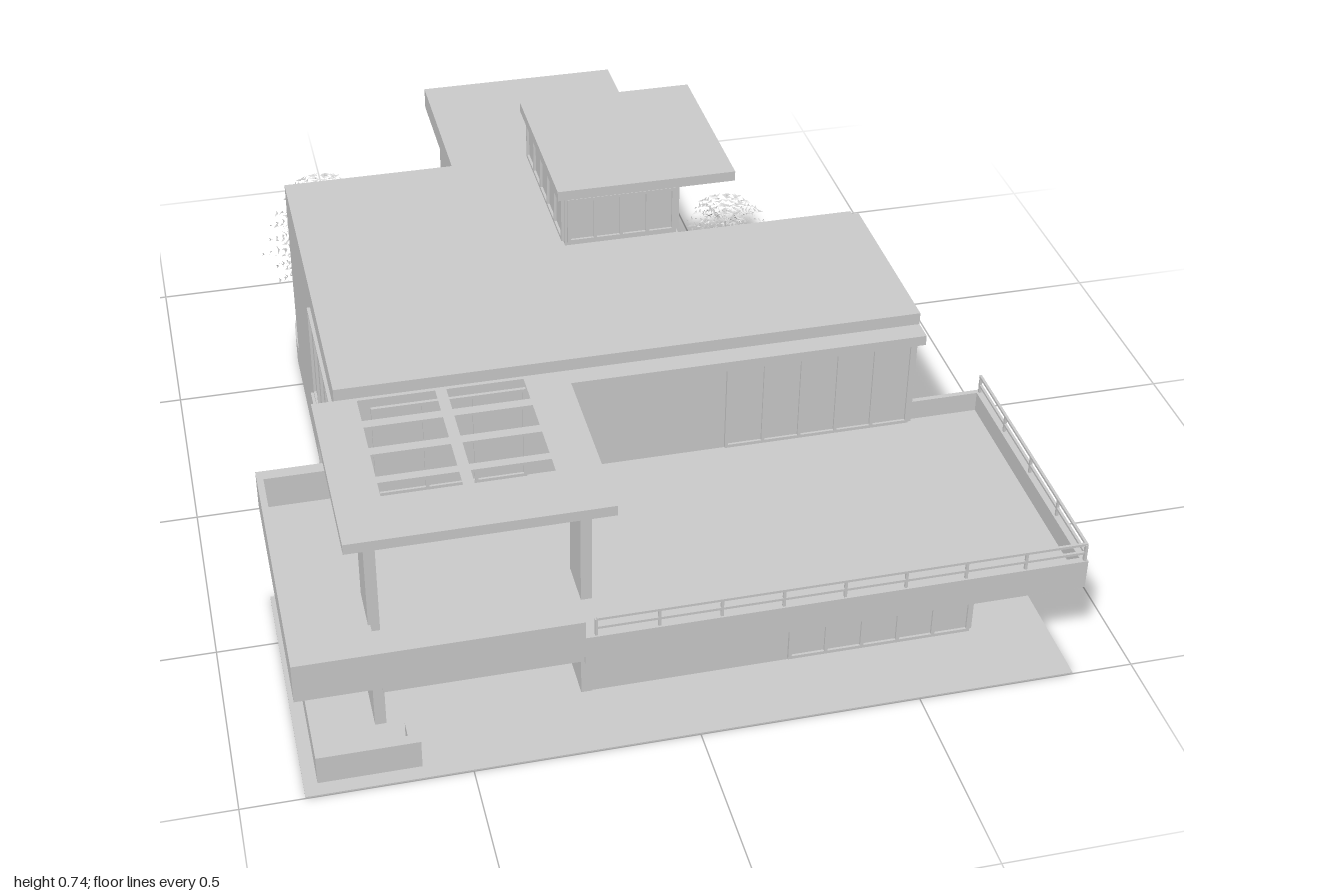
import * as THREE from 'three';
import { mergeGeometries } from 'three/addons/utils/BufferGeometryUtils.js';

const grey = new THREE.MeshStandardMaterial({ color: 0xcccccc, flatShading: true });
const thin = new THREE.MeshStandardMaterial({ color: 0xcccccc, flatShading: true, side: THREE.DoubleSide });

// Box geometry from its limits
const box = (x0, x1, y0, y1, z0, z1) =>
  new THREE.BoxGeometry(x1 - x0, y1 - y0, z1 - z0).translate((x0 + x1) / 2, (y0 + y1) / 2, (z0 + z1) / 2);

// Plan outline of [x, z] points raised from y0 to y1
function slab(points, y0, y1, holes = []) {
  const toVec = (p) => p.map(([x, z]) => new THREE.Vector2(x, -z));
  const shape = new THREE.Shape(toVec(points));
  for (const h of holes) shape.holes.push(new THREE.Path(toVec(h)));
  return new THREE.ExtrudeGeometry(shape, { depth: y1 - y0, bevelEnabled: false })
    .rotateX(-Math.PI / 2).translate(0, y0, 0);
}
const rect = (x0, x1, z0, z1) => [[x0, z0], [x1, z0], [x1, z1], [x0, z1]];

// Arc of plan points, angles in degrees
function arc(cx, cz, r, a0, a1, n = 10) {
  return Array.from({ length: n + 1 }, (_, i) => {
    const a = THREE.MathUtils.degToRad(a0 + (a1 - a0) * i / n);
    return [cx + r * Math.cos(a), cz + r * Math.sin(a)];
  });
}

// Framed window on a wall: axis is the direction it runs in, at is the wall plane, out the outward sign
function windowFrame(axis, at, out, a0, a1, y0, y1, panes) {
  const parts = [], t = 0.008;
  const put = (u0, u1, v0, v1, d) => {
    const lo = Math.min(at, at + out * d), hi = Math.max(at, at + out * d);
    parts.push(axis === 'x' ? box(u0, u1, v0, v1, lo, hi) : box(lo, hi, v0, v1, u0, u1));
  };
  put(a0, a1, y0, y1, 0.002);
  put(a0, a1, y0, y0 + t, 0.008);
  put(a0, a1, y1 - t, y1, 0.008);
  for (let i = 0; i <= panes; i++) {
    const u = a0 + (a1 - a0 - t) * i / panes;
    put(u, u + t, y0 + t, y1 - t, 0.008);
  }
  return mergeGeometries(parts);
}

// Tree: trunk with tiers of rising fronds carrying small pointed leaves
function treeGeometry(radius, height, seed) {
  let s = seed;
  const rnd = () => (s = (s * 16807) % 2147483647) / 2147483647;
  const pos = [];
  const tri = (a, b, c) => pos.push(...a.toArray(), ...b.toArray(), ...c.toArray());
  const up = new THREE.Vector3(0, 1, 0), tiers = 7, fronds = 14;
  for (let t = 0; t < tiers; t++) {
    const f = t / (tiers - 1);
    const reach = radius * (0.55 + 0.45 * Math.sin(Math.PI * (0.15 + 0.75 * f))) * (1 - 0.35 * f * f);
    for (let k = 0; k < fronds; k++) {
      const ang = (k + 0.25 * (rnd() - 0.5)) / fronds * Math.PI * 2;
      const dir = new THREE.Vector3(Math.cos(ang), 0, Math.sin(ang));
      const side = new THREE.Vector3().crossVectors(dir, up);
      const len = reach * (0.75 + 0.3 * rnd());
      const at = (u) => dir.clone().multiplyScalar(len * u)
        .setY(height * (0.2 + 0.68 * f + 0.12 * Math.sin(u * 2.2)));
      const w = side.clone().multiplyScalar(0.0012);
      tri(at(0).add(w), at(0).sub(w), at(1));
      for (let j = 2; j <= 8; j++) {
        const p = at(j / 8);
        for (const sgn of [-1, 1]) {
          const tip = p.clone().addScaledVector(side, sgn * (0.008 + 0.007 * rnd()))
            .addScaledVector(dir, 0.007).addScaledVector(up, (rnd() - 0.5) * 0.014);
          tri(p, p.clone().addScaledVector(dir, 0.005).addScaledVector(up, 0.003), tip);
        }
      }
    }
  }
  const leaves = new THREE.BufferGeometry();
  leaves.setAttribute('position', new THREE.Float32BufferAttribute(pos, 3));
  leaves.computeVertexNormals();
  const trunk = new THREE.CylinderGeometry(0.002, 0.005, height * 0.9, 6).translate(0, height * 0.45, 0)
    .toNonIndexed();
  trunk.deleteAttribute('uv');
  return mergeGeometries([trunk, leaves]);
}

export function createModel() {
  const model = new THREE.Group();
  const add = (name, geo, mat = grey) => {
    const mesh = new THREE.Mesh(Array.isArray(geo) ? mergeGeometries(geo) : geo, mat);
    mesh.name = name;
    model.add(mesh);
    return mesh;
  };

  // Ground and main volumes
  add('ground', box(-0.86, 0.86, 0, 0.004, 0.34, 1));
  add('mainBlock', slab([[-0.68, 0.36], [0.68, 0.36], [0.68, -0.095], [0.225, -0.095],
    [0.225, -0.545], [-0.68, -0.545]], 0, 0.58));
  add('backWing', box(-0.225, 0.225, 0, 0.525, -0.935, -0.545));
  add('backWingRoof', box(-0.255, 0.25, 0.525, 0.58, -0.965, -0.545));
  add('lowerFrontRoom', box(-0.225, 0.68, 0, 0.25, 0.36, 0.815));
  add('courtyardCanopy', box(0.225, 0.68, 0.525, 0.55, -0.155, -0.095));

  // Rooftop room
  add('rooftopRoom', box(-0.055, 0.22, 0.58, 0.715, -0.54, -0.11));
  add('rooftopSlab', box(-0.075, 0.36, 0.715, 0.74, -0.545, -0.095));
  add('rooftopWindows', [
    windowFrame('x', -0.54, -1, -0.05, 0.215, 0.59, 0.71, 4),
    windowFrame('x', -0.11, 1, -0.05, 0.215, 0.59, 0.71, 4),
    windowFrame('z', -0.055, -1, -0.535, -0.115, 0.59, 0.71, 5),
    windowFrame('z', 0.22, 1, -0.535, -0.115, 0.59, 0.71, 3)]);

  // Pergola roof with two columns of openings
  const holes = [];
  for (const x of [-0.63, -0.43])
    for (const [z0, z1] of [[0.37, 0.447], [0.472, 0.547], [0.572, 0.65], [0.672, 0.77]])
      holes.push(rect(x, x + 0.175, z0, z1));
  add('pergolaRoof', slab([[-0.73, 0.36], [0.68, 0.36], [0.68, 0.41], [-0.155, 0.41],
    [-0.155, 0.86], [-0.73, 0.86]], 0.525, 0.55, holes));
  for (const x of [-0.685, -0.225]) add('pergolaPier', box(x, x + 0.025, 0, 0.525, 0.71, 0.817));

  // Terrace deck with a raised parapet at one end
  add('deckFloor', [box(-0.68, 0.85, 0.25, 0.272, 0.36, 0.985), box(-0.85, -0.68, 0.275, 0.29, 0.36, 0.985),
    box(0.68, 0.85, 0.25, 0.272, 0.345, 0.36)]);
  add('deckParapet', [box(-0.255, 0.86, 0.25, 0.322, 0.98, 0.995), box(0.845, 0.86, 0.25, 0.322, 0.34, 0.98),
    box(0.68, 0.845, 0.25, 0.322, 0.34, 0.352)]);
  add('raisedParapet', [box(-0.865, -0.255, 0.275, 0.37, 0.98, 1), box(-0.865, -0.85, 0.275, 0.37, 0.34, 0.98),
    box(-0.85, -0.68, 0.275, 0.37, 0.34, 0.37)]);
  add('ceilingLamp', new THREE.CylinderGeometry(0.075, 0.075, 0.01, 20).translate(-0.455, 0.245, 0.6));

  // Railing
  const rail = [], r = 0.003;
  for (const y of [0.342, 0.365]) {
    rail.push(box(-0.23, 0.855, y - r, y + r, 0.985, 0.991));
    rail.push(box(0.85, 0.856, y - r, y + r, 0.345, 0.991));
  }
  for (let i = 0; i < 9; i++) {
    const x = -0.23 + i * 1.083 / 8;
    rail.push(box(x - r, x + r, 0.32, 0.365, 0.985, 0.991));
  }
  for (let i = 0; i < 5; i++) {
    const z = 0.35 + i * 0.16;
    rail.push(box(0.85, 0.856, 0.32, 0.365, z - r, z + r));
  }
  add('railing', rail);

  // Low entrance wall
  add('entranceWall', [box(-0.83, -0.605, 0, 0.075, 0.94, 0.965), box(-0.83, -0.805, 0, 0.075, 0.36, 0.94),
    box(-0.63, -0.605, 0, 0.075, 0.9, 0.94)]);

  // Windows of the main floors
  add('frontWindows', [windowFrame('x', 0.36, 1, 0.22, 0.67, 0.275, 0.52, 5),
    windowFrame('x', 0.36, 1, -0.6, -0.25, 0.275, 0.52, 3)]);
  add('lowerWindows', [windowFrame('x', 0.815, 1, 0.25, 0.68, 0.01, 0.245, 5),
    windowFrame('z', 0.68, 1, 0.49, 0.815, 0.01, 0.245, 3)]);
  add('sideWindows', [windowFrame('z', -0.68, -1, -0.07, 0.35, 0.01, 0.25, 4),
    windowFrame('z', -0.68, -1, -0.07, 0.35, 0.275, 0.52, 4), box(-0.695, -0.68, 0.25, 0.275, -0.07, 0.36)]);
  add('courtyardWindows', windowFrame('x', -0.095, -1, 0.35, 0.66, 0.01, 0.52, 4));

  // Narrow back windows with projecting surrounds
  for (const y of [0.16, 0.41]) {
    add('backWindow', [box(-0.15, 0.17, y, y + 0.008, -0.95, -0.935), box(-0.15, 0.17, y + 0.042, y + 0.05, -0.95, -0.935),
      box(-0.15, -0.142, y, y + 0.05, -0.95, -0.935), box(0.162, 0.17, y, y + 0.05, -0.95, -0.935),
      box(-0.142, 0.162, y + 0.008, y + 0.042, -0.938, -0.935)]);
  }

  // Curved planters: wall strip and soil
  const planter = (name, outer, inner, soilCorners) => {
    add(name + 'Wall', slab([...outer, ...[...inner].reverse()], 0, 0.075));
    add(name + 'Soil', slab([...inner, ...soilCorners], 0, 0.04));
  };
  planter('rightPlanter',
    [[0.225, -0.545], ...arc(0.335, -0.2, 0.345, -90, 0), [0.68, -0.095]],
    [[0.225, -0.517], ...arc(0.335, -0.2, 0.317, -90, 0), [0.652, -0.095]],
    [[0.225, -0.095]]);
  planter('leftPlanter',
    [[-0.24, -1], ...arc(-0.29, -0.61, 0.39, -90, -180), [-0.68, -0.545]],
    [[-0.24, -0.972], ...arc(-0.29, -0.61, 0.362, -90, -180), [-0.652, -0.545]],
    [[-0.225, -0.545], [-0.225, -0.96]]);

  // Trees
  for (const [x, z, rad, h] of [[-0.57, -0.77, 0.17, 0.39], [-0.38, -0.71, 0.11, 0.25],
    [0.44, -0.43, 0.17, 0.39], [0.39, -0.25, 0.11, 0.25]]) {
    add('tree', treeGeometry(rad, h, 1234 + Math.round(rad * 1000)), thin).position.set(x, 0.04, z);
  }

  // Small downlights under the roof edges
  const light = (x, y, z) => new THREE.CylinderGeometry(0.006, 0.006, 0.006, 8).translate(x, y, z);
  add('downlights', [...[-0.06, 0.2, 0.52].map((x) => light(x, 0.522, 0.385)),
    ...[-0.68, -0.44, -0.29].map((x) => light(x, 0.522, 0.82)),
    ...[-0.2, -0.35, -0.48].map((z) => light(0.3, 0.712, z))]);
  return model;
}
